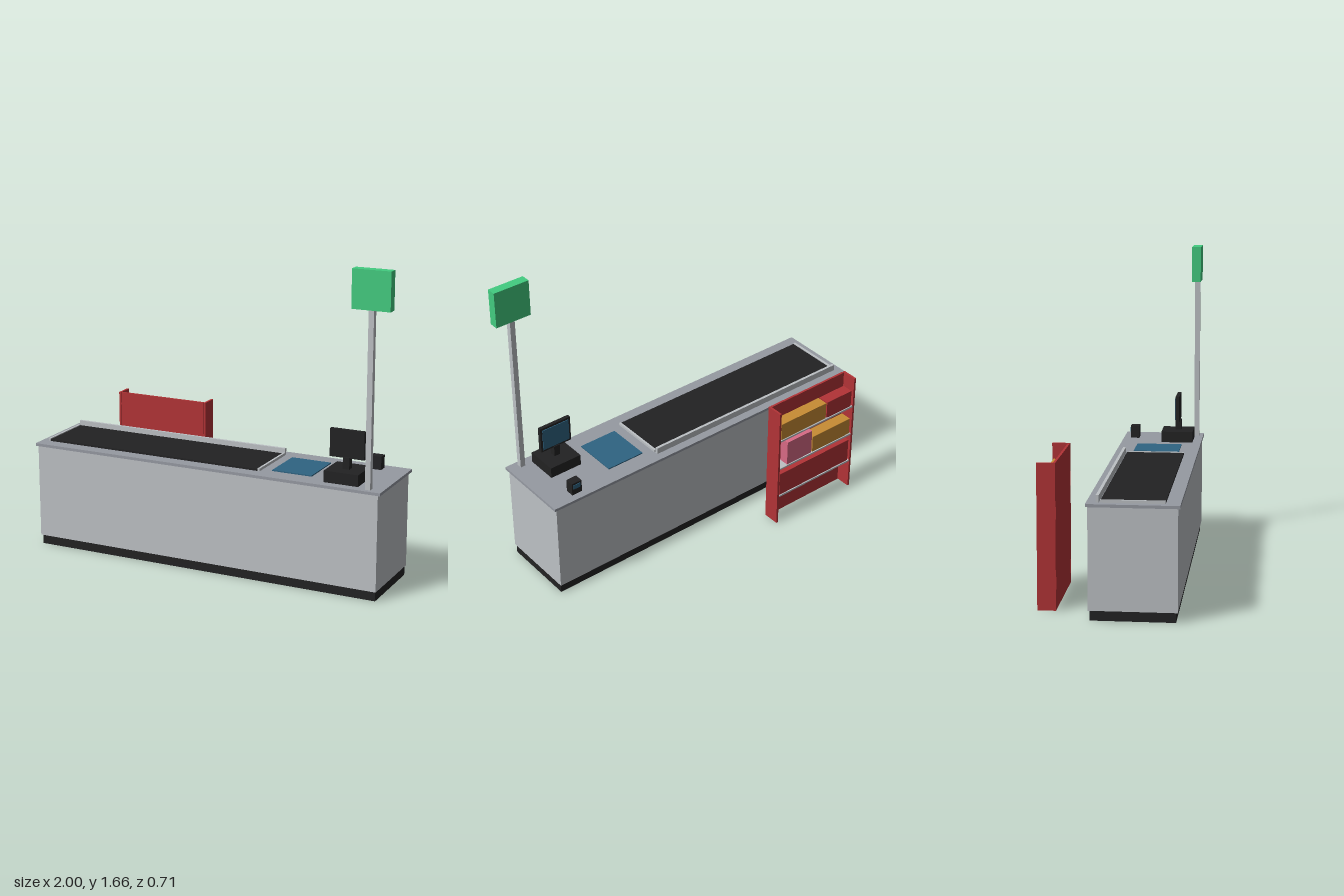
import * as THREE from 'three';

const mat = (name, color) => {
  const m = new THREE.MeshStandardMaterial({ color });
  m.name = name;
  return m;
};

export function createModel() {
  const panel = mat('light grey panel', 0xbdc1c5);
  const steel = mat('grey worktop', 0x969aa2);
  const black = mat('black', 0x222223);
  const red = mat('red', 0xb23336);
  const green = mat('green', 0x42cc80);
  const blue = mat('blue glass', 0x2f6482);
  const amber = mat('amber', 0xc88c34);
  const pink = mat('pink', 0xd86a85);

  const model = new THREE.Group();
  model.name = 'checkoutCounter';

  const group = (name) => {
    const g = new THREE.Group();
    g.name = name;
    model.add(g);
    return g;
  };
  // Box given by its extents along each axis
  const box = (parent, name, material, [x0, x1], [y0, y1], [z0, z1]) => {
    const mesh = new THREE.Mesh(new THREE.BoxGeometry(x1 - x0, y1 - y0, z1 - z0), material);
    mesh.position.set((x0 + x1) / 2, (y0 + y1) / 2, (z0 + z1) / 2);
    mesh.name = name;
    parent.add(mesh);
  };

  // Counter
  const counter = group('counter');
  box(counter, 'plinth', black, [-0.982, 0.955], [0, 0.05], [-0.08, 0.333]);
  box(counter, 'body', panel, [-0.99, 0.96], [0.05, 0.555], [-0.088, 0.341]);
  box(counter, 'worktop', steel, [-1, 0.975], [0.555, 0.57], [-0.098, 0.351]);

  // Conveyor: belt, end bars and raised back rail
  const conveyor = group('conveyor');
  box(conveyor, 'belt', black, [-0.95, 0.283], [0.57, 0.58], [-0.03, 0.28]);
  for (const x of [-0.963, 0.283])
    box(conveyor, 'endBar', panel, [x, x + 0.012], [0.57, 0.584], [-0.03, 0.28]);
  box(conveyor, 'backRail', panel, [-0.96, 0.292], [0.57, 0.605], [-0.052, -0.037]);

  // Scanner glass
  box(model, 'scannerGlass', blue, [0.35, 0.568], [0.57, 0.576], [0, 0.248]);

  // Register with its screen facing the cashier
  const register = group('register');
  box(register, 'registerBase', black, [0.655, 0.84], [0.57, 0.63], [0.127, 0.303]);
  box(register, 'neck', black, [0.73, 0.765], [0.63, 0.69], [0.202, 0.236]);
  box(register, 'monitor', black, [0.655, 0.84], [0.685, 0.83], [0.207, 0.227]);
  box(register, 'screen', blue, [0.667, 0.828], [0.697, 0.818], [0.203, 0.207]);

  // Card terminal
  const terminal = group('cardTerminal');
  box(terminal, 'terminalBody', black, [0.78, 0.84], [0.57, 0.64], [-0.058, -0.01]);
  box(terminal, 'terminalScreen', blue, [0.79, 0.83], [0.605, 0.63], [-0.061, -0.058]);

  // Lane sign on a pole
  const sign = group('laneSign');
  box(sign, 'pole', panel, [0.886, 0.914], [0.57, 1.466], [0.299, 0.328]);
  box(sign, 'signPanel', green, [0.8, 1], [1.466, 1.662], [0.285, 0.335]);

  // Shelf rack, open towards the back
  const rack = group('shelfRack');
  box(rack, 'rackPanel', red, [-0.82, -0.305], [0, 0.73], [-0.274, -0.262]);
  for (const x of [-0.835, -0.302])
    box(rack, 'rackSide', red, [x, x + 0.012], [0, 0.73], [-0.354, -0.262]);
  for (const y of [0.18, 0.365, 0.55])
    box(rack, 'shelf', panel, [-0.823, -0.302], [y - 0.01, y], [-0.352, -0.274]);

  // Goods: material, x extent, shelf height, box height
  const goods = [
    [amber, [-0.63, -0.312], 0.55, 0.1],
    [red, [-0.815, -0.637], 0.55, 0.1],
    [pink, [-0.535, -0.36], 0.365, 0.145],
    [amber, [-0.815, -0.542], 0.365, 0.1],
    [red, [-0.815, -0.312], 0.18, 0.14],
  ];
  for (const [material, x, y, h] of goods)
    box(rack, 'goodsBox', material, x, [y, y + h], [-0.346, -0.282]);

  return model;
}
